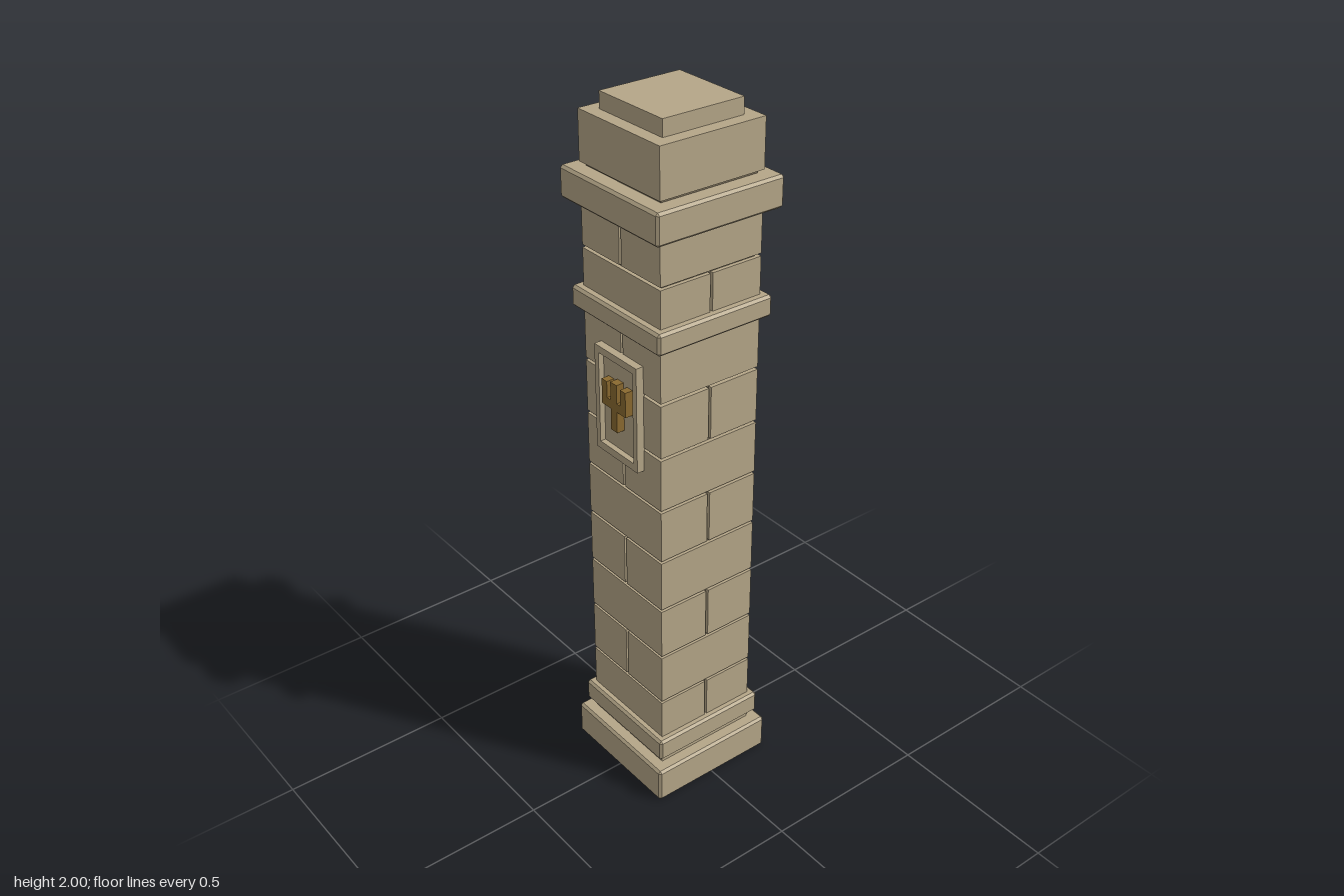
import * as THREE from 'three';
import { ConvexGeometry } from 'three/addons/geometries/ConvexGeometry.js';

const mat = (name, color) => {
  const m = new THREE.MeshStandardMaterial({ color });
  m.name = name;
  return m;
};

// Box with flat chamfers on every edge
function chamferBox(w, h, d, c) {
  const pts = [];
  for (const sx of [-1, 1]) for (const sy of [-1, 1]) for (const sz of [-1, 1]) {
    const x = w / 2, y = h / 2, z = d / 2;
    pts.push(
      new THREE.Vector3(sx * x, sy * (y - c), sz * (z - c)),
      new THREE.Vector3(sx * (x - c), sy * y, sz * (z - c)),
      new THREE.Vector3(sx * (x - c), sy * (y - c), sz * z));
  }
  return new ConvexGeometry(pts);
}

export function createModel() {
  const stone = mat('stone', 0xb5a688);
  const mortar = mat('mortar', 0x766b56);
  const bronze = mat('bronze', 0x8a6a30);
  const model = new THREE.Group();
  model.name = 'stonePillar';

  const add = (parent, name, geometry, material, x, y, z) => {
    const mesh = new THREE.Mesh(geometry, material);
    mesh.name = name;
    mesh.position.set(x, y, z);
    parent.add(mesh);
    return mesh;
  };
  const box = (parent, name, material, w, y0, y1, d, x = 0, z = 0) =>
    add(parent, name, new THREE.BoxGeometry(w, y1 - y0, d), material, x, (y0 + y1) / 2, z);

  // Mortar core showing in the joints
  box(model, 'mortarCore', mortar, 0.294, 0.02, 1.9, 0.294);

  // Courses of two blocks, the split turning a quarter each time
  const half = 0.158, gap = 0.008, pitch = 0.1593;
  const long = half * 2, short = half - gap / 2;
  for (let k = 0; k < 11; k++) {
    const y0 = 0.009 + k * pitch, y1 = y0 + pitch - gap;
    for (const s of [-1, 1]) {
      const off = s * (short + gap) / 2;
      if (k % 2 === 0) box(model, 'block', stone, short, y0, y1, long, off, 0);
      else box(model, 'block', stone, long, y0, y1, short, 0, off);
    }
  }

  // Chamfered bands: half width, bottom, top
  const bands = [
    ['basePlinth', 0.195, 0, 0.105],
    ['baseMoulding', 0.178, 0.13, 0.197],
    ['neckBand', 0.181, 1.43, 1.49],
    ['capitalSlab', 0.195, 1.725, 1.811],
  ];
  for (const [name, w, y0, y1] of bands)
    add(model, name, chamferBox(w * 2, y1 - y0, w * 2, 0.007), stone, 0, (y0 + y1) / 2, 0);

  // Stepped cap
  box(model, 'capBlock', stone, 0.318, 1.821, 1.955, 0.318);
  box(model, 'capTop', stone, 0.244, 1.955, 2, 0.244);

  // Framed panel with a three-pronged emblem, on front and back
  const fx = 0.0875, ix = 0.071, fy0 = 1.055, fy1 = 1.36, iy0 = 1.077, iy1 = 1.34;
  const frameShape = new THREE.Shape([[-fx, fy0], [fx, fy0], [fx, fy1], [-fx, fy1]]
    .map(p => new THREE.Vector2(...p)));
  frameShape.holes.push(new THREE.Path([[-ix, iy0], [-ix, iy1], [ix, iy1], [ix, iy0]]
    .map(p => new THREE.Vector2(...p))));
  const frameGeo = new THREE.ExtrudeGeometry(frameShape, { depth: 0.025, bevelEnabled: false });

  const right = [[0.013, 1.143], [0.013, 1.205], [0.05, 1.205], [0.05, 1.277],
    [0.028, 1.277], [0.028, 1.23], [0.013, 1.23], [0.013, 1.283]];
  const left = right.map(([x, y]) => [-x, y]).reverse();
  const emblemGeo = new THREE.ExtrudeGeometry(
    new THREE.Shape([...right, ...left].map(p => new THREE.Vector2(...p))),
    { depth: 0.026, bevelEnabled: false });

  for (const turn of [0, Math.PI]) {
    const panel = new THREE.Group();
    panel.name = turn ? 'backPanel' : 'frontPanel';
    panel.rotation.y = turn;
    add(panel, 'panelFrame', frameGeo, stone, 0, 0, 0.155);
    box(panel, 'panelField', stone, ix * 2, iy0, iy1, 0.009, 0, 0.1595);
    add(panel, 'emblem', emblemGeo, bronze, 0, 0, 0.161);
    model.add(panel);
  }
  return model;
}
